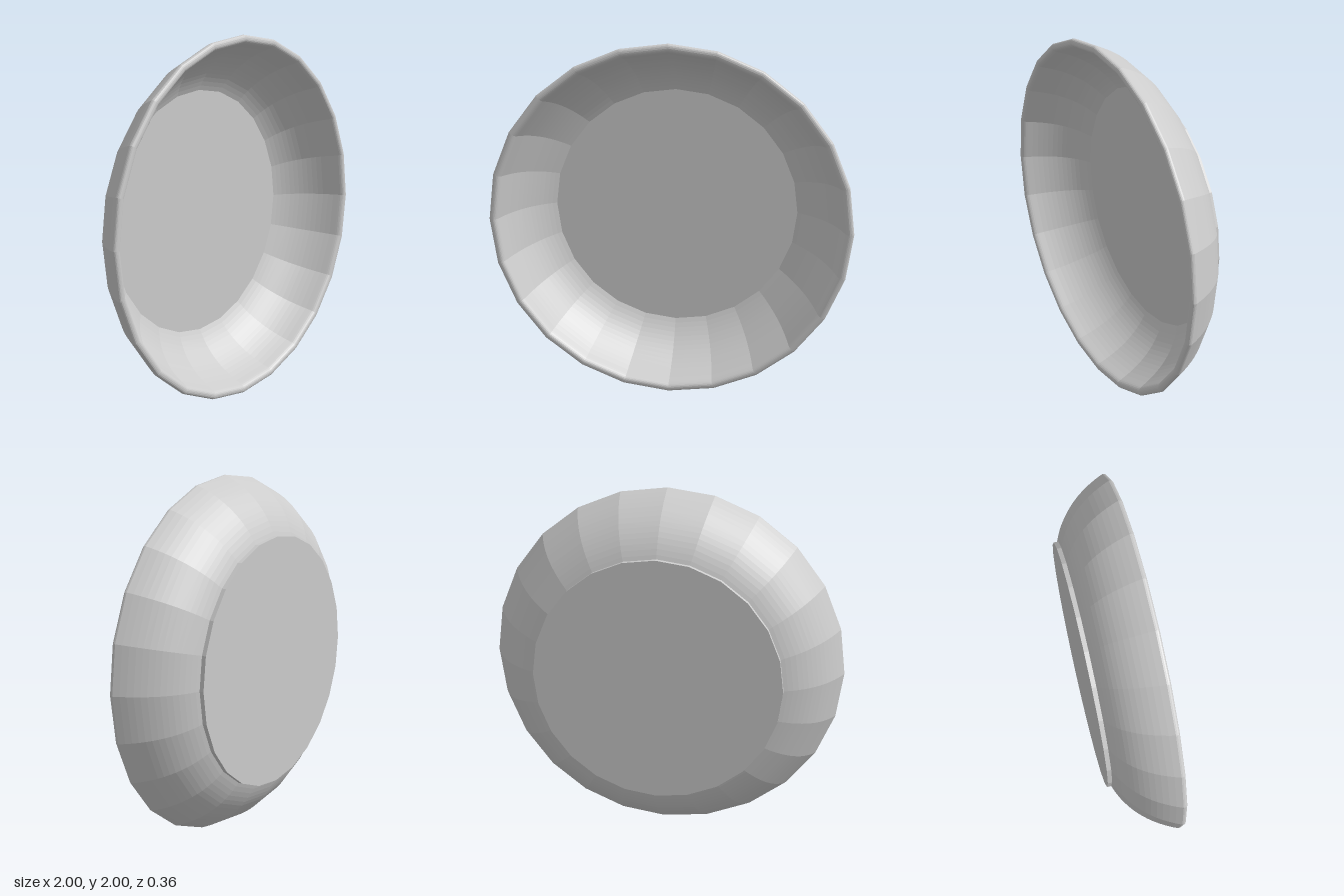
import * as THREE from 'three';

const SIDES = 24;
const V = (r, h) => new THREE.Vector2(r, h);
const curve = (a, b, c, n) => new THREE.QuadraticBezierCurve(a, b, c).getPoints(n);

export function createModel() {
  const model = new THREE.Group();
  model.name = 'dish';
  const material = new THREE.MeshStandardMaterial({ color: 0xcccccc, flatShading: true });

  // The dish is turned about its own axis, then tipped so the opening faces forward
  const body = new THREE.Group();
  body.name = 'dishBody';
  body.rotation.x = Math.PI / 2;
  body.position.y = 1;
  model.add(body);

  // Thin curved wall: outside, rounded lip, inside
  const profile = [
    ...curve(V(0.685, -0.157), V(0.9, -0.085), V(1, 0.155), 14),
    ...curve(V(1, 0.155), V(1.003, 0.178), V(0.978, 0.178), 5).slice(1),
    ...curve(V(0.978, 0.178), V(0.96, 0.178), V(0.95, 0.15), 5).slice(1),
    ...curve(V(0.95, 0.15), V(0.87, -0.07), V(0.69, -0.153), 14).slice(1),
  ];
  const wall = new THREE.Mesh(new THREE.LatheGeometry(profile, SIDES), material);
  wall.name = 'wall';
  body.add(wall);

  // Flat disc that forms the floor inside and the foot behind
  const base = new THREE.Mesh(new THREE.CylinderGeometry(0.693, 0.693, 0.025, SIDES), material);
  base.name = 'base';
  base.position.y = -0.1655;
  body.add(base);

  return model;
}
